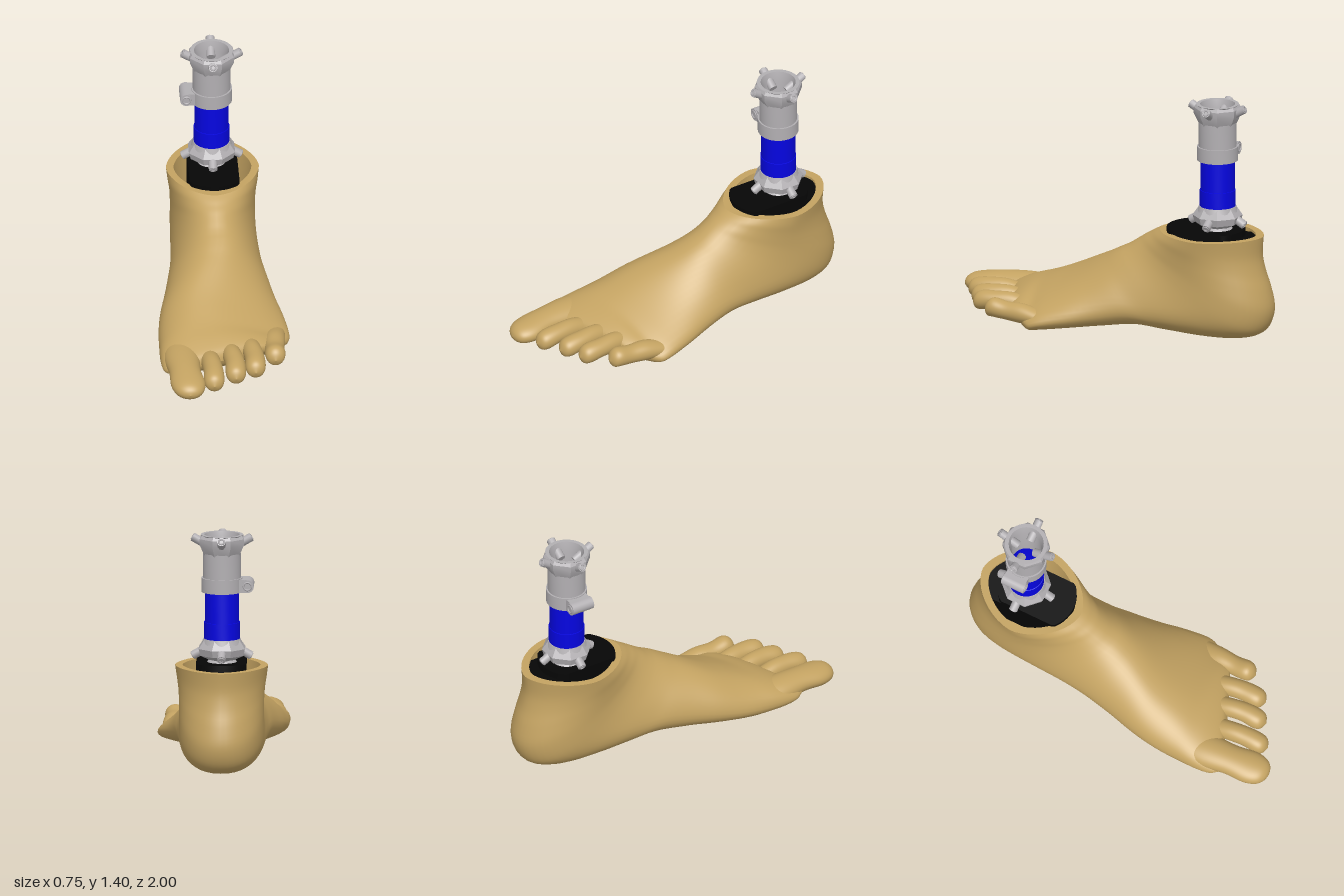
import * as THREE from 'three';
import { toCreasedNormals } from 'three/addons/utils/BufferGeometryUtils.js';

const mat = (name, color) => {
  const m = new THREE.MeshStandardMaterial({ color });
  m.name = name;
  return m;
};
const N = 48;
const { smoothstep, clamp } = THREE.MathUtils;
const spow = (v, e) => Math.sign(v) * Math.abs(v) ** e;

// Smoothly subdivide a list of parameter rows
function refine(rows, steps) {
  const out = [], at = i => rows[Math.max(0, Math.min(rows.length - 1, i))];
  for (let i = 0; i < rows.length - 1; i++) {
    for (let s = 0; s < steps; s++) {
      const u = s / steps;
      out.push(rows[i].map((b, k) => {
        const a = at(i - 1)[k], c = rows[i + 1][k], d = at(i + 2)[k];
        return b + 0.5 * u * (c - a + u * (2 * a - 5 * b + 4 * c - d + u * (3 * (b - c) + d - a)));
      }));
    }
  }
  out.push(rows[rows.length - 1]);
  return out;
}

// Skin closed rings of [x, y, z] points
function loft(rings) {
  const pos = rings.flat(2), idx = [];
  for (let i = 0; i < rings.length - 1; i++) {
    for (let j = 0; j < N; j++) {
      const a = i * N + j, b = i * N + (j + 1) % N, c = a + N, d = b + N;
      idx.push(a, c, b, b, c, d);
    }
  }
  const g = new THREE.BufferGeometry();
  g.setAttribute('position', new THREE.Float32BufferAttribute(pos, 3));
  g.setIndex(idx);
  g.computeVertexNormals();
  return g;
}
const ring = f => Array.from({ length: N }, (_, j) => f(j / N * Math.PI * 2));

// Tilted foot section from an instep point to a heel or sole point;
// the forefoot leans to the big toe and slants back to the little toe
const section = ([zf, yf, zb, yb, hw, flare]) => {
  const lean = smoothstep(zf, -0.1, 0.3) * (1 - smoothstep(zf, 0.42, 0.6));
  const shear = 0.4 * smoothstep(zf, 0.22, 0.64), power = 0.88 + 0.48 * yb;
  const xc = -0.005 - 0.025 * smoothstep(zf, 0.4, 0.6);
  return ring(t => {
    const s = spow(Math.cos(t), power), u = (s + 1) / 2;
    const x = xc + lean * (0.065 - 0.175 * u) + hw * spow(Math.sin(t), power) * (1 - flare * s);
    return [x, yb + (yf - yb) * u, zb + (zf - zb) * u - shear * x];
  });
};

export function createModel() {
  const root = new THREE.Group();
  const skin = mat('tan skin', 0xc4a362), black = mat('black core', 0x060606);
  const metal = mat('grey metal', 0xb2afb2), blue = mat('blue tube', 0x0505e0);
  const add = (name, geo, m, parent = root) => {
    const mesh = new THREE.Mesh(geo, m);
    mesh.name = name;
    parent.add(mesh);
    return mesh;
  };

  // Foot: instep z y, heel or sole z y, half width, flare towards the sole
  const rows = [
    [-0.31, 0.63, -0.935, 0.63, 0.265, 0],
    [-0.28, 0.615, -0.927, 0.52, 0.257, 0],
    [-0.25, 0.597, -0.945, 0.42, 0.248, 0.03],
    [-0.22, 0.58, -0.977, 0.32, 0.243, 0.06],
    [-0.19, 0.56, -0.998, 0.21, 0.24, 0.1],
    [-0.16, 0.54, -0.975, 0.115, 0.24, 0.12],
    [-0.13, 0.52, -0.92, 0.06, 0.241, 0.12],
    [-0.10, 0.503, -0.8, 0.032, 0.243, 0.13],
    [-0.07, 0.488, -0.62, 0.03, 0.247, 0.16],
    [-0.03, 0.467, -0.42, 0.045, 0.254, 0.2],
    [0.02, 0.44, -0.23, 0.065, 0.268, 0.27],
    [0.1, 0.4, -0.03, 0.045, 0.29, 0.33],
    [0.2, 0.35, 0.15, 0.025, 0.316, 0.39],
    [0.32, 0.292, 0.32, 0.008, 0.333, 0.42],
    [0.43, 0.24, 0.44, 0, 0.34, 0.33],
    [0.52, 0.205, 0.53, 0.016, 0.333, 0.2],
    [0.59, 0.17, 0.58, 0.045, 0.308, 0.1],
    [0.615, 0.14, 0.61, 0.075, 0.265, 0],
    [0.625, 0.108, 0.625, 0.108, 0, 0],
  ];
  add('foot', loft(refine(rows, 4).map(section)), skin);

  // Open ankle rim and cavity
  const rim = (y, w, d) => section([-0.622 + d, y, -0.622 - d, y, w, 0]);
  add('ankleRim', loft([rim(0.63, 0.222, 0.265), section(rows[0])]), skin);
  add('ankleCavity', toCreasedNormals(
    loft([rim(0.4, 0, 0), rim(0.4, 0.2, 0.25), rim(0.63, 0.222, 0.265)]), 0.6), skin);

  // Toes: x, y, z, half width, half height
  const toe = (name, path) => add(name, loft(refine(path, 5).map(([x, y, z, rx, ry]) =>
    ring(t => [x + rx * Math.sin(t), y + ry * Math.cos(t), z]))), skin);
  toe('bigToe', [
    [-0.25, 0.11, 0.42, 0.09, 0.07], [-0.25, 0.118, 0.6, 0.103, 0.075],
    [-0.24, 0.125, 0.76, 0.09, 0.063], [-0.228, 0.115, 0.88, 0.098, 0.06],
    [-0.223, 0.11, 0.95, 0.08, 0.05], [-0.22, 0.108, 0.985, 0.045, 0.028],
    [-0.22, 0.107, 0.997, 0, 0],
  ]);
  // name, base x, tip x, tip z, base y, base half width
  [['secondToe', -0.10, -0.078, 0.92, 0.12, 0.052], ['thirdToe', 0.015, 0.05, 0.845, 0.12, 0.052],
    ['fourthToe', 0.13, 0.165, 0.785, 0.115, 0.052], ['littleToe', 0.295, 0.285, 0.66, 0.095, 0.06],
  ].forEach(([name, x0, x1, z, y0, r0]) => {
    const mid = x0 + (x1 - x0) * 0.6;
    toe(name, [
      [x0, y0 - 0.015, z - 0.4, r0, 0.035], [mid, y0 + 0.008, z - 0.25, r0 + 0.003, 0.056],
      [x1, y0 + 0.015, z - 0.14, 0.056, 0.052], [x1, 0.122, z - 0.06, 0.058, 0.056],
      [x1, 0.115, z - 0.02, 0.042, 0.042], [x1, 0.113, z, 0, 0],
    ]);
  });

  // Black inner foot core and mounting plate
  const slab = (y0, y1, zc, d, w) => {
    const r = (y, f) => ring(t => [-0.003 + f * clamp(1.5 * w * Math.sin(t), -w, w), y, zc + f * d * Math.cos(t)]);
    return toCreasedNormals(loft([r(y1, 0), r(y1, 1), r(y0, 1), r(y0, 0)]), 0.6);
  };
  add('innerCore', slab(0.39, 0.615, -0.63, 0.262, 0.14), black);
  add('mountingPlate', slab(0.61, 0.655, -0.587, 0.226, 0.142), black);

  // Hollow pylon assembly
  const pylon = new THREE.Group();
  pylon.name = 'pylon';
  pylon.position.set(-0.008, 0, -0.657);
  root.add(pylon);
  const lathe = (name, pts, m, sides = 40) => {
    const g = new THREE.LatheGeometry(pts.map(p => new THREE.Vector2(...p)), sides, sides === 8 ? Math.PI / 8 : 0);
    return add(name, toCreasedNormals(g, 0.5), m, pylon);
  };
  lathe('tube', [[0.098, 0.77], [0.098, 1.08], [0.085, 1.08], [0.085, 0.77]], blue);
  lathe('tubeSleeve', [[0.098, 0.77], [0.102, 0.771], [0.102, 0.885], [0.098, 0.886]], blue);
  lathe('lowerNeck', [[0.06, 0.655], [0.085, 0.655], [0.07, 0.67], [0.1, 0.70]], metal);
  lathe('lowerAdapter', [[0.07, 0.665], [0.132, 0.695], [0.143, 0.735], [0.108, 0.785]], metal, 8);
  lathe('lowerCollar', [[0.118, 0.755], [0.106, 0.79], [0.09, 0.79]], metal);
  lathe('clampRing', [[0.095, 1.06], [0.117, 1.06], [0.117, 1.142], [0.108, 1.142]], metal);
  lathe('socketSleeve', [[0.108, 1.14], [0.108, 1.285]], metal);
  lathe('upperAdapter', [[0.106, 1.27], [0.136, 1.335], [0.136, 1.37], [0.122, 1.39]], metal, 8);
  lathe('upperCup', [[0.11, 1.375], [0.122, 1.39], [0.1, 1.39], [0.085, 1.33], [0.085, 1.08]], metal);

  // Clamp lug and bolt
  const lug = new THREE.Group();
  lug.name = 'clampLug';
  lug.position.set(-0.146, 1.1, 0);
  pylon.add(lug);
  const bolt = new THREE.CylinderGeometry(0.037, 0.037, 0.14, 24).rotateX(Math.PI / 2);
  add('lugBarrel', bolt, metal, lug);
  add('lugBlock', new THREE.BoxGeometry(0.05, 0.074, 0.13).translate(0.025, 0, 0), metal, lug);
  for (const s of [-1, 1]) {
    add('boltHead', new THREE.TorusGeometry(0.022, 0.005, 8, 24).translate(0, 0, s * 0.07), metal, lug);
  }

  // Four angled set screws around each adapter
  for (const [y, dir] of [[0.715, -1], [1.35, 1]]) {
    for (let i = 0; i < 4; i++) {
      const arm = new THREE.Group();
      arm.name = dir > 0 ? 'upperScrew' : 'lowerScrew';
      arm.position.y = y;
      arm.rotation.y = i * Math.PI / 2;
      pylon.add(arm);
      const g = new THREE.CylinderGeometry(0.025, 0.025, 0.13, 12).rotateZ(-Math.PI / 2);
      const screw = add('setScrew', toCreasedNormals(g, 0.7), metal, arm);
      screw.position.set(0.11, -dir * 0.007, 0);
      screw.rotation.z = dir * 0.52;
      const socket = add('screwSocket', new THREE.TorusGeometry(0.015, 0.005, 6, 12).rotateY(Math.PI / 2), metal, screw);
      socket.position.x = 0.065;
    }
  }
  return root;
}
